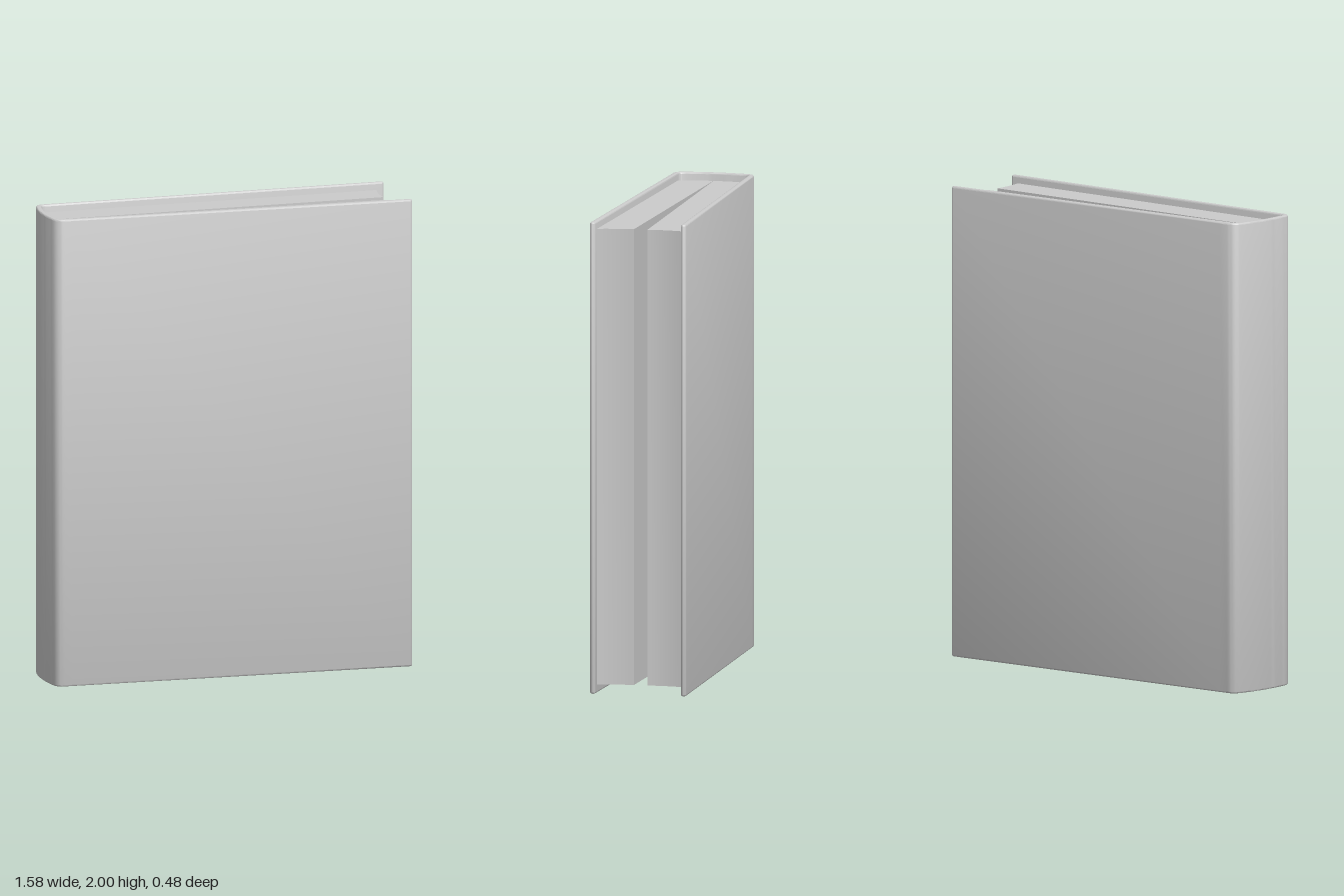
import * as THREE from 'three';
import { toCreasedNormals } from 'three/addons/utils/BufferGeometryUtils.js';

const V = (x, z) => new THREE.Vector2(x, -z); // plan point: shape y becomes -z
const material = new THREE.MeshStandardMaterial({ color: 0xcccccc });

// Stand a plan outline upright between two heights, with an optional rounded rim
function upright(name, points, bottom, top, bevel = 0) {
  const geometry = new THREE.ExtrudeGeometry(new THREE.Shape(points), {
    depth: top - bottom - 2 * bevel,
    bevelEnabled: bevel > 0,
    bevelSize: bevel,
    bevelThickness: bevel,
    bevelOffset: -bevel,
    bevelSegments: 3,
  });
  geometry.rotateX(-Math.PI / 2).translate(0, bottom + bevel, 0);
  const mesh = new THREE.Mesh(toCreasedNormals(geometry, 0.7), material);
  mesh.name = name;
  return mesh;
}

// Give a centre line a thickness, with round ends
function thicken(line, half) {
  const n = line.length;
  const tangents = line.map((p, i) =>
    line[Math.min(i + 1, n - 1)].clone().sub(line[Math.max(i - 1, 0)]).normalize());
  const side = (i, s) => new THREE.Vector2(-tangents[i].y, tangents[i].x).multiplyScalar(s * half).add(line[i]);
  const cap = (i, start) => [1, 2, 3, 4, 5].map((k) => {
    const a = Math.atan2(tangents[i].y, tangents[i].x) + start - (k * Math.PI) / 6;
    return new THREE.Vector2(Math.cos(a), Math.sin(a)).multiplyScalar(half).add(line[i]);
  });
  return [
    ...line.map((p, i) => side(i, 1)),
    ...cap(n - 1, Math.PI / 2),
    ...line.map((p, i) => side(i, -1)).reverse(),
    ...cap(0, -Math.PI / 2),
  ];
}

const bend = (a, control, b, steps) => new THREE.QuadraticBezierCurve(a, control, b).getPoints(steps);

export function createModel() {
  const book = new THREE.Group();
  book.name = 'book';

  // Hard case: back board, curved spine and front board in one piece
  const backHinge = V(-0.74, -0.105), spineBack = V(-0.77, -0.08);
  const frontHinge = V(-0.735, 0.221), spineFront = V(-0.765, 0.2);
  const caseLine = [
    V(0.747, -0.232),
    V(-0.7, -0.1084),
    ...bend(backHinge, V(-0.766, -0.103), spineBack, 6),
    ...bend(spineBack, V(-0.796, 0.05), spineFront, 16).slice(1),
    ...bend(spineFront, V(-0.759, 0.222), frontHinge, 6).slice(1),
    V(-0.7, 0.2195),
    V(0.775, 0.156),
  ];
  book.add(upright('cover', thicken(caseLine, 0.012), 0, 2, 0.007));

  // Page blocks: rounded at the spine, hollowed at the fore edge, parted by a wedge
  const blocks = {
    backPages: [
      ...bend(V(0.726, -0.219), V(0.708, -0.14), V(0.718, -0.066), 10),
      ...bend(V(-0.756, 0.062), V(-0.756, -0.02), V(-0.743, -0.093), 8),
    ],
    frontPages: [
      ...bend(V(0.748, 0.145), V(0.722, 0.075), V(0.718, -0.007), 10),
      ...bend(V(-0.756, 0.063), V(-0.748, 0.14), V(-0.722, 0.21), 8),
    ],
  };
  for (const [name, outline] of Object.entries(blocks)) {
    book.add(upright(name, outline, 0.035, 1.968));
  }

  return book;
}
